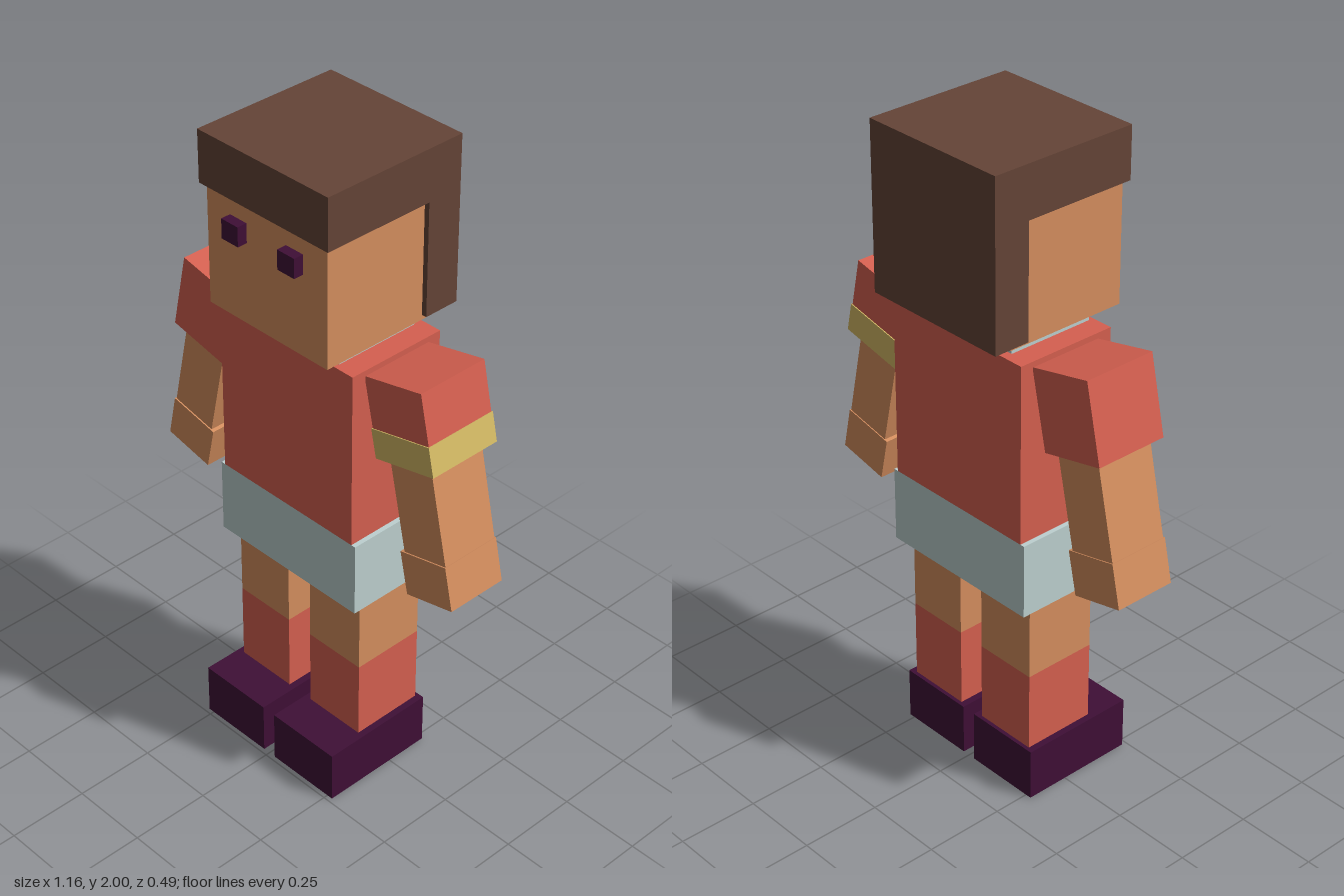
import * as THREE from 'three';

const makeMaterial = (name, color) => {
  const m = new THREE.MeshStandardMaterial({ color });
  m.name = name;
  return m;
};

export function createModel() {
  const model = new THREE.Group();
  model.name = 'blockFigure';

  const red = makeMaterial('red cloth', 0xd66050);
  const skin = makeMaterial('skin', 0xd68f5f);
  const brown = makeMaterial('brown hair', 0x654437);
  const pale = makeMaterial('pale cloth', 0xbed1d0);
  const gold = makeMaterial('gold band', 0xd6bc66);
  const plum = makeMaterial('dark plum', 0x3f0f36);

  // Box given by its [min, max] extent on each axis
  const box = (parent, name, material, [x0, x1], [y0, y1], [z0, z1]) => {
    const mesh = new THREE.Mesh(new THREE.BoxGeometry(x1 - x0, y1 - y0, z1 - z0), material);
    mesh.position.set((x0 + x1) / 2, (y0 + y1) / 2, (z0 + z1) / 2);
    mesh.name = name;
    parent.add(mesh);
    return mesh;
  };
  const group = (name) => {
    const g = new THREE.Group();
    g.name = name;
    model.add(g);
    return g;
  };

  // Head and hair
  const head = group('head');
  box(head, 'face', skin, [-0.227, 0.227], [1.477, 1.842], [-0.18, 0.215]);
  box(head, 'hairTop', brown, [-0.243, 0.243], [1.842, 2], [-0.247, 0.228]);
  box(head, 'hairBack', brown, [-0.243, 0.243], [1.492, 1.842], [-0.247, -0.132]);

  // Body
  const body = group('body');
  box(body, 'collar', pale, [-0.19, 0.19], [1.43, 1.477], [-0.142, 0.138]);
  box(body, 'shirt', red, [-0.258, 0.258], [0.888, 1.44], [-0.171, 0.154]);
  box(body, 'shorts', pale, [-0.273, 0.273], [0.655, 0.888], [-0.171, 0.154]);

  for (const side of [1, -1]) {
    const label = side > 0 ? 'left' : 'right';
    const span = (a, b) => (side > 0 ? [a, b] : [-b, -a]);

    box(head, label + 'Eye', plum, span(0.075, 0.138), [1.726, 1.786], [0.21, 0.246]);

    // Leg, sock and shoe
    const leg = group(label + 'Leg');
    box(leg, 'thigh', skin, span(0.045, 0.248), [0.415, 0.655], [-0.125, 0.11]);
    box(leg, 'sock', red, span(0.045, 0.248), [0.165, 0.415], [-0.125, 0.11]);
    box(leg, 'shoe', plum, span(0.023, 0.269), [0, 0.165], [-0.137, 0.236]);

    // Arm, swung outwards around the middle of the sleeve
    const arm = group(label + 'Arm');
    arm.position.set(side * 0.3835, 1.325, 0);
    arm.rotation.z = side * 0.214;
    box(arm, 'sleeve', red, [-0.105, 0.105], [-0.122, 0.122], [-0.128, 0.107]);
    box(arm, 'forearm', skin, span(-0.079, 0.077), [-0.412, -0.11], [-0.105, 0.085]);
    box(arm, 'hand', skin, span(-0.091, 0.08), [-0.548, -0.412], [-0.108, 0.089]);
    if (side > 0) {
      // Armband wrapped around the sleeve as four thin plates
      const y = [-0.122, -0.032];
      for (const x of [-0.108, 0.105]) box(arm, 'armband', gold, [x, x + 0.003], y, [-0.131, 0.11]);
      for (const z of [-0.131, 0.107]) box(arm, 'armband', gold, [-0.105, 0.105], y, [z, z + 0.003]);
    }
  }
  return model;
}
